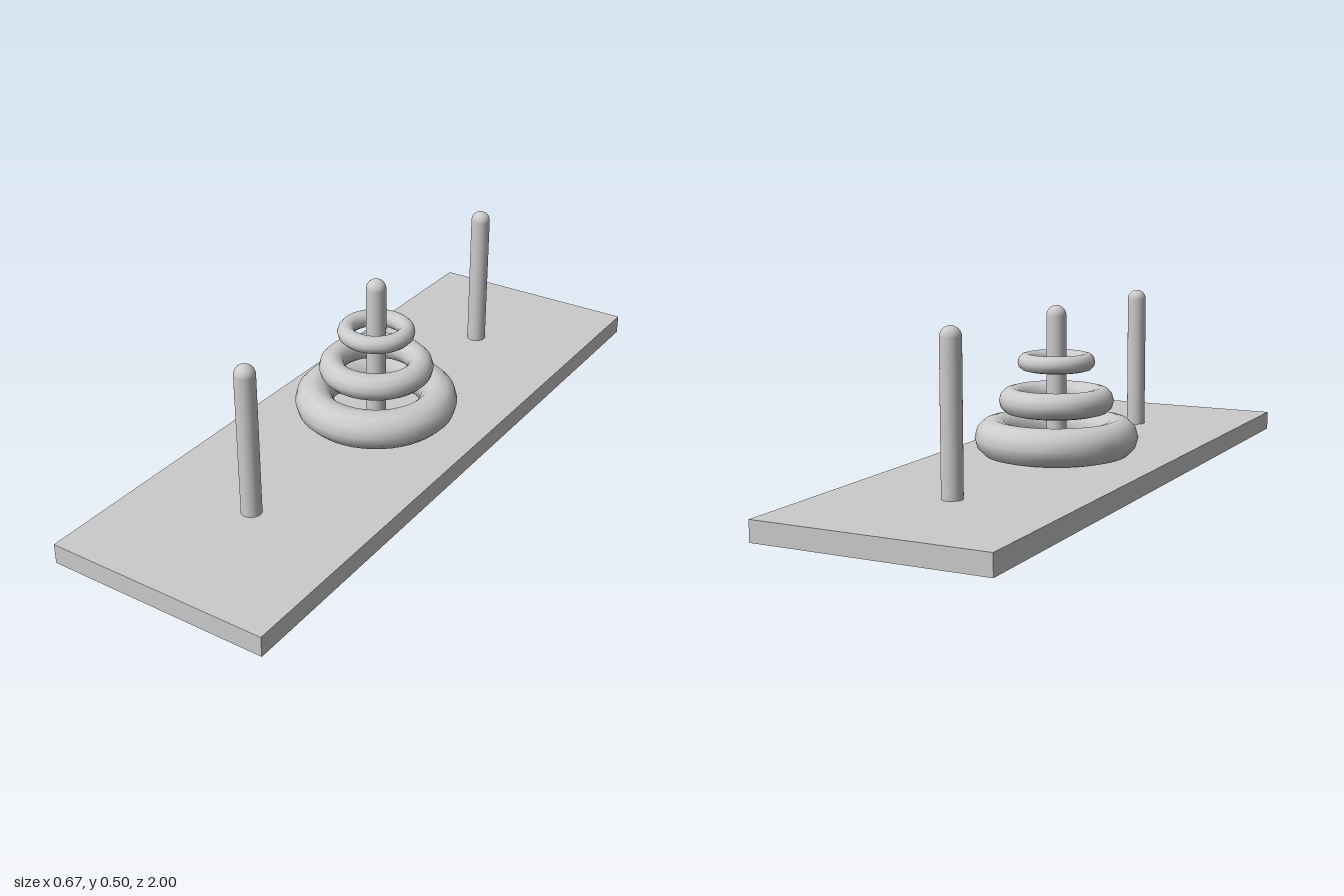
import * as THREE from 'three';

const material = new THREE.MeshStandardMaterial({ color: 0xcccccc });

const BASE_HEIGHT = 0.058;
const PEG_RADIUS = 0.029;
const PEG_TOP = 0.502;

function addMesh(group, name, geometry, x, y, z) {
  const mesh = new THREE.Mesh(geometry, material);
  mesh.name = name;
  mesh.position.set(x, y, z);
  group.add(mesh);
  return mesh;
}

export function createModel() {
  const model = new THREE.Group();
  model.name = 'ringStackingToy';

  // Flat rectangular board
  addMesh(model, 'base', new THREE.BoxGeometry(0.666, BASE_HEIGHT, 2), 0, BASE_HEIGHT / 2, 0);

  // Three pegs: a straight shaft with a domed tip
  const shaftHeight = PEG_TOP - PEG_RADIUS - BASE_HEIGHT;
  const shaft = new THREE.CylinderGeometry(PEG_RADIUS, PEG_RADIUS, shaftHeight, 32, 1, true);
  const dome = new THREE.SphereGeometry(PEG_RADIUS, 32, 12, 0, Math.PI * 2, 0, Math.PI / 2);
  [['backPeg', -0.605], ['middlePeg', 0], ['frontPeg', 0.605]].forEach(([name, z]) => {
    const peg = new THREE.Group();
    peg.name = name;
    addMesh(peg, 'shaft', shaft, 0, BASE_HEIGHT + shaftHeight / 2, 0);
    addMesh(peg, 'tip', dome, 0, PEG_TOP - PEG_RADIUS, 0);
    peg.position.z = z;
    model.add(peg);
  });

  // Rings around the middle peg: outer radius, tube radius, centre height
  [
    ['largeRing', 0.24, 0.056, 0.1165],
    ['mediumRing', 0.168, 0.0385, 0.2245],
    ['smallRing', 0.113, 0.0255, 0.3375],
  ].forEach(([name, outer, tube, y]) => {
    const geometry = new THREE.TorusGeometry(outer - tube, tube, 12, 48);
    addMesh(model, name, geometry, 0, y, 0).rotation.x = -Math.PI / 2;
  });

  return model;
}
